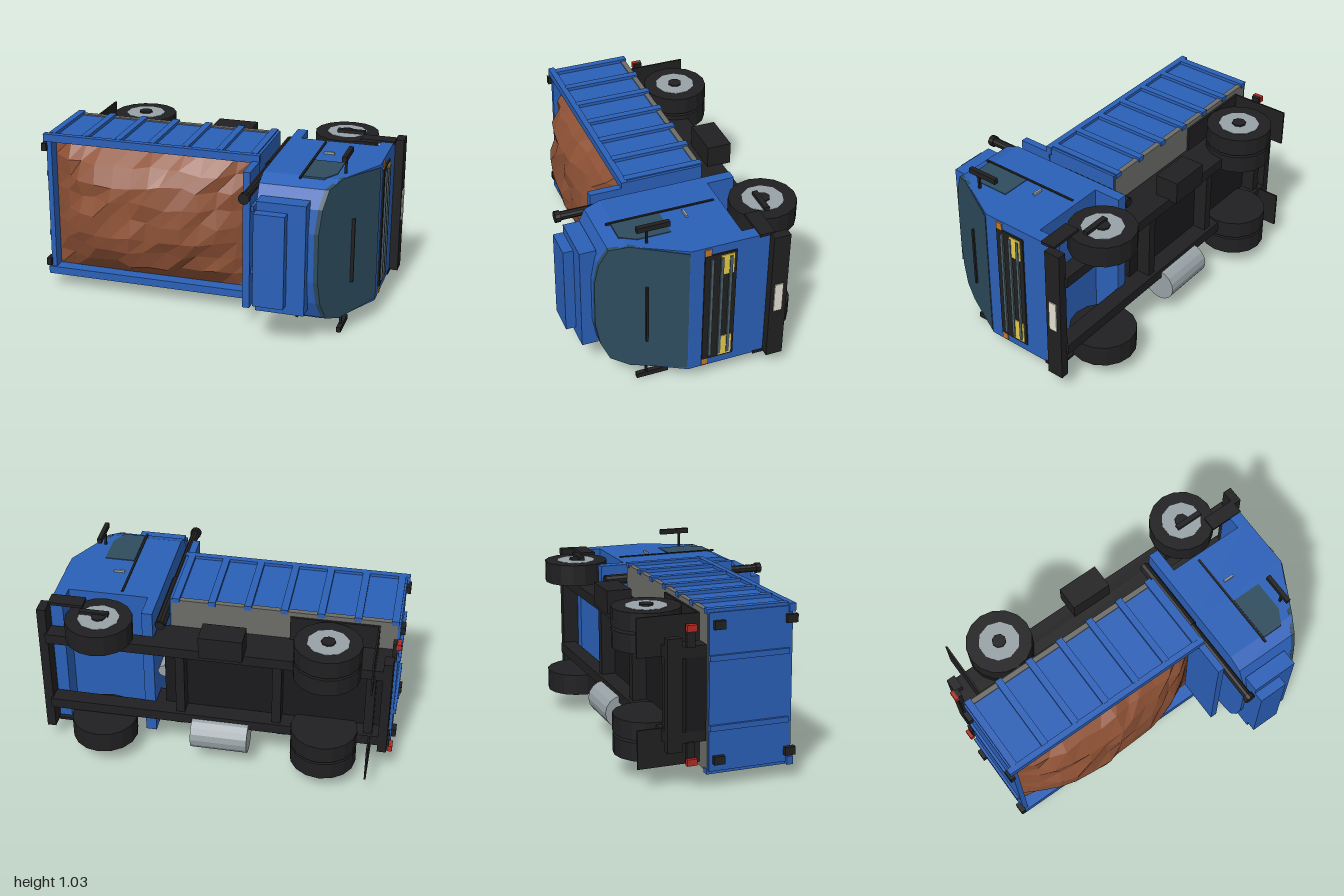
import * as THREE from 'three';

const mat = (color, side = THREE.FrontSide) =>
  new THREE.MeshStandardMaterial({ color, flatShading: true, side });
const blue = mat(0x2b60b8), black = mat(0x202022), dark = mat(0x1a1a1c), steel = mat(0x98a2a6),
  glass = mat(0x2e4c5e), barGrey = mat(0x4a5f68), grey = mat(0x6c6c68), yellow = mat(0xe6cc4a),
  orange = mat(0xc47a2a), red = mat(0xb52a22), pale = mat(0xe4e0d2), soil = mat(0x8f5236, THREE.DoubleSide);

// The truck lies on its side: nose along +x, roof towards +z, width along y.
export function createModel() {
  const root = new THREE.Group();
  const truck = new THREE.Group();
  truck.name = 'tipperTruck';
  truck.position.y = 0.515;
  root.add(truck);

  const add = (name, geo, m) => {
    const mesh = new THREE.Mesh(geo, m);
    mesh.name = name;
    truck.add(mesh);
    return mesh;
  };
  // box from its limits along x, y and z
  const box = (name, m, x0, x1, y0, y1, z0, z1) =>
    add(name, new THREE.BoxGeometry(x1 - x0, y1 - y0, z1 - z0), m)
      .position.set((x0 + x1) / 2, (y0 + y1) / 2, (z0 + z1) / 2);
  // box repeated on both sides of the truck
  const pair = (name, m, x0, x1, y0, y1, z0, z1) => {
    box(name, m, x0, x1, y0, y1, z0, z1);
    box(name, m, x0, x1, -y1, -y0, z0, z1);
  };
  const cyl = (name, m, r, len, x, y, z, axis = 'y', sides = 16) => {
    const geo = new THREE.CylinderGeometry(r, r, len, sides);
    if (axis === 'x') geo.rotateZ(Math.PI / 2);
    if (axis === 'z') geo.rotateX(Math.PI / 2);
    add(name, geo, m).position.set(x, y, z);
  };

  // chassis
  pair('chassisRail', black, -0.96, 0.95, 0.195, 0.255, -0.47, -0.38);
  pair('subframeRail', black, -0.96, 0.355, 0.195, 0.255, -0.38, -0.26);
  box('subframe', dark, -0.96, 0.3, -0.25, 0.25, -0.37, -0.26);
  for (const x of [-0.85, -0.34, 0.2])
    box('crossMember', black, x - 0.025, x + 0.025, -0.2, 0.2, -0.45, -0.36);
  box('underrunBar', black, -0.96, -0.91, -0.3, 0.3, -0.47, -0.39);
  box('batteryBox', black, -0.16, 0.08, 0.25, 0.38, -0.52, -0.38);
  cyl('fuelTank', steel, 0.095, 0.32, -0.03, -0.312, -0.455, 'x');
  pair('rearMudguard', black, -0.86, -0.38, 0.25, 0.4, -0.27, -0.258);
  pair('mudFlap', black, -0.867, -0.857, 0.19, 0.4, -0.6, -0.26);
  pair('lampBracket', black, -0.97, -0.945, 0.25, 0.37, -0.37, -0.325);
  pair('tailLight', red, -0.99, -0.965, 0.335, 0.37, -0.375, -0.32);

  // wheels
  const wheel = (x, s, tyres) => {
    for (const [y0, y1] of tyres) cyl('tyre', black, 0.185, y1 - y0, x, s * (y0 + y1) / 2, -0.455);
    cyl('rim', steel, 0.115, 0.02, x, s * 0.389, -0.455, 'y', 10);
    cyl('hub', black, 0.04, 0.04, x, s * 0.388, -0.455, 'y', 8);
  };
  for (const s of [-1, 1]) {
    wheel(-0.61, s, [[0.183, 0.283], [0.297, 0.397]]);
    wheel(0.64, s, [[0.275, 0.397]]);
  }

  // tipping body
  box('bodyFloor', grey, -0.96, 0.28, -0.425, 0.425, -0.255, -0.225);
  pair('sideWall', blue, -0.97, 0.285, 0.39, 0.418, -0.235, 0.2);
  pair('topRail', blue, -0.99, 0.295, 0.39, 0.435, 0.185, 0.22);
  for (let i = 0; i < 7; i++) {
    const x = -0.945 + i * 0.2;
    pair('sideRib', blue, x - 0.02, x + 0.02, 0.41, 0.437, -0.26, 0.19);
  }
  box('tailgate', blue, -0.975, -0.945, -0.42, 0.42, -0.25, 0.21);
  pair('tailgateRib', blue, -0.99, -0.97, 0.17, 0.2, -0.25, 0.19);
  for (const z of [-0.2, 0.2])
    pair('tailgateLatch', black, -1, -0.97, 0.335, 0.38, z - 0.03, z + 0.03);
  box('frontWall', blue, 0.255, 0.29, -0.43, 0.43, -0.25, 0.22);
  box('headboard', blue, 0.255, 0.295, -0.4, 0.4, 0.2, 0.4);
  pair('headboardRib', blue, 0.29, 0.31, 0.17, 0.2, -0.25, 0.38);

  // heaped load with an uneven faceted surface
  const heap = new THREE.PlaneGeometry(1.2, 0.79, 12, 8);
  const p = heap.attributes.position;
  const noise = i => { const v = Math.sin(i * 127.1 + 3.7) * 43758.5; return v - Math.floor(v); };
  for (let i = 0; i < p.count; i++) {
    const u = p.getX(i) / 0.6, v = p.getY(i) / 0.395;
    const rise = Math.pow(Math.max(0, 1 - u * u), 0.6) * Math.pow(Math.max(0, 1 - v * v), 0.6);
    const j = Math.abs(u) > 0.99 || Math.abs(v) > 0.99 ? 0 : 0.04;
    p.setXYZ(i, p.getX(i) + (noise(i) - 0.5) * j, p.getY(i) + (noise(i + 200) - 0.5) * j,
      0.14 + rise * (0.19 - 0.04 * u) + (noise(i + 400) - 0.5) * j);
  }
  add('load', heap, soil).position.x = -0.345;

  // cab: square lower body and a rounded upper body with a raked front
  box('cabLower', blue, 0.36, 0.94, -0.405, 0.405, -0.23, 0.08);
  box('cabRearApron', blue, 0.36, 0.42, -0.405, 0.405, -0.385, -0.23);
  box('cabFrontApron', blue, 0.87, 0.94, -0.405, 0.405, -0.36, -0.23);
  const rake = z => 0.94 - (z - 0.08) * 0.54;
  const half = [[0.405, 0.08], [0.405, 0.37], [0.37, 0.455], [0.27, 0.5], [0.14, 0.523]];
  const outline = pts => new THREE.Shape(
    [...pts, ...pts.map(([y, z]) => [-y, z]).reverse()].map(q => new THREE.Vector2(...q)));
  const toX = new THREE.Matrix4().makeBasis(
    new THREE.Vector3(0, 1, 0), new THREE.Vector3(0, 0, 1), new THREE.Vector3(1, 0, 0));
  const raked = (pts, back, front) => {
    const g = new THREE.ExtrudeGeometry(outline(pts), { depth: 1, bevelEnabled: false }).applyMatrix4(toX);
    const a = g.attributes.position;
    for (let i = 0; i < a.count; i++) a.setX(i, a.getX(i) > 0.5 ? front(a.getZ(i)) : back(a.getZ(i)));
    g.computeVertexNormals();
    return g;
  };
  add('cabUpper', raked(half, () => 0.36, rake), blue);
  const pane = [[0.39, 0.085], [0.407, 0.36], [0.372, 0.456], [0.272, 0.501], [0.14, 0.524]];
  add('windscreen', raked(pane, z => rake(z) - 0.018, z => rake(z) + 0.006), glass);
  box('wiper', black, rake(0.28), rake(0.28) + 0.02, -0.215, 0.155, 0.275, 0.287);
  box('roofFairing', blue, 0.38, 0.65, -0.315, 0.315, 0.49, 0.583);
  box('roofFairingTop', blue, 0.38, 0.55, -0.265, 0.265, 0.583, 0.64);

  // doors
  const win = new THREE.Shape([[0.58, 0.115], [0.75, 0.115], [0.75, 0.3], [0.7, 0.385], [0.58, 0.385]]
    .map(q => new THREE.Vector2(...q)));
  add('sideWindows', new THREE.ExtrudeGeometry(win, { depth: 0.818, bevelEnabled: false })
    .translate(0, 0, -0.409).rotateX(Math.PI / 2), glass);
  pair('doorPillar', black, 0.565, 0.577, 0.4, 0.411, -0.2, 0.41);
  pair('doorHandle', steel, 0.605, 0.665, 0.4, 0.418, -0.015, -0.003);
  pair('cabStep', black, 0.75, 0.945, 0.395, 0.412, -0.385, -0.3);
  pair('wheelStep', black, 0.59, 0.75, 0.395, 0.418, -0.445, -0.415);
  pair('mirrorArm', black, 0.78, 0.793, 0.35, 0.49, 0.258, 0.271);
  pair('mirror', black, 0.775, 0.8, 0.485, 0.515, 0.14, 0.322);

  // nose
  box('grille', black, 0.93, 0.948, -0.355, 0.355, -0.175, 0.005);
  for (const z of [-0.035, -0.09, -0.14])
    box('grilleBar', barGrey, 0.945, 0.958, -0.33, 0.33, z - 0.008, z + 0.008);
  pair('headlight', yellow, 0.94, 0.953, 0.213, 0.343, -0.16, -0.085);
  pair('indicator', orange, 0.93, 0.947, 0.355, 0.395, -0.032, 0.005);
  box('bumper', black, 0.94, 0.99, -0.405, 0.405, -0.455, -0.36);
  box('frontPlate', pale, 0.98, 0.996, -0.09, 0.09, -0.43, -0.382);

  // exhaust stack and lifting ram between cab and body
  cyl('exhaustStack', black, 0.024, 0.98, 0.32, 0.33, 0.11, 'z', 10);
  cyl('exhaustTip', black, 0.032, 0.03, 0.32, 0.33, 0.595, 'z', 10);
  cyl('exhaustSilencer', black, 0.03, 0.45, 0.32, 0.33, -0.15, 'z', 10);
  cyl('liftingRam', steel, 0.038, 0.5, 0.31, 0, -0.1, 'z', 8);

  return root;
}
